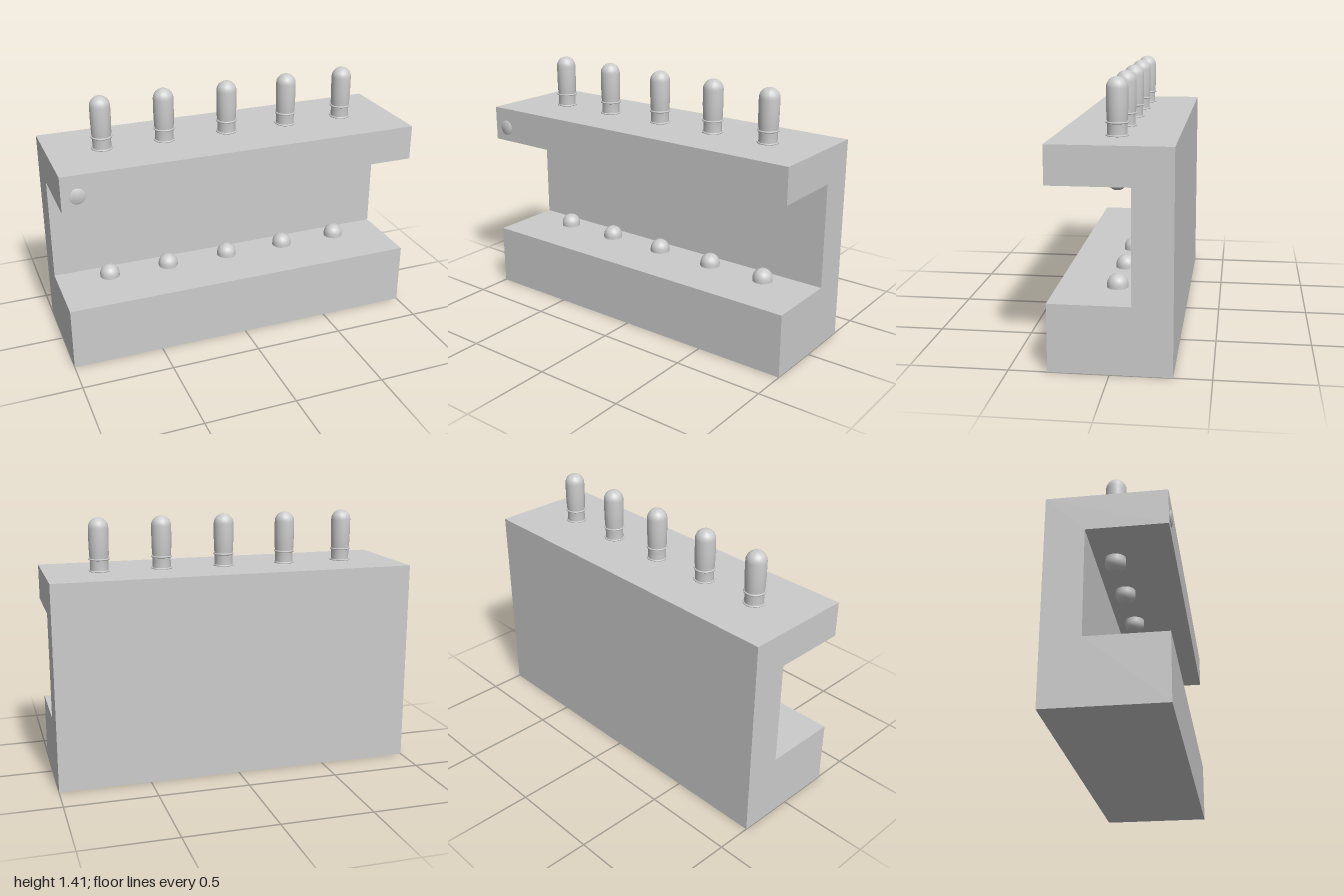
import * as THREE from 'three';
import { toCreasedNormals } from 'three/addons/utils/BufferGeometryUtils.js';

const material = new THREE.MeshStandardMaterial({ color: 0xcccccc });
const R = 0.055;
const PIN_Z = -0.003;

function addMesh(parent, name, geometry, x = 0, y = 0, z = 0) {
  const mesh = new THREE.Mesh(geometry, material);
  mesh.name = name;
  mesh.position.set(x, y, z);
  parent.add(mesh);
  return mesh;
}

// Quarter-circle profile of a dome, from the rim up to the tip (dir 1) or from the tip up to the rim (dir -1)
function domeProfile(radius, rimY, dir) {
  const points = [];
  for (let i = 0; i <= 8; i++) {
    const a = (i / 8) * Math.PI / 2;
    points.push(new THREE.Vector2(radius * Math.cos(a), rimY + dir * radius * Math.sin(a)));
  }
  points[8].x = 0;
  return dir > 0 ? points : points.reverse();
}

const lathe = (points) => toCreasedNormals(new THREE.LatheGeometry(points, 20), 0.7);
const v = (x, y) => new THREE.Vector2(x, y);

export function createModel() {
  const model = new THREE.Group();
  model.name = 'pinRack';

  // C-shaped body: side profile drawn as (-z, y), extruded along x
  const front = -0.305, wall = 0.108, back = 0.31;
  const profile = new THREE.Shape([
    v(front, 0), v(back, 0), v(back, 1.125), v(front, 1.125),
    v(front, 0.93), v(wall, 0.93), v(wall, 0.35), v(front, 0.35),
  ]);
  const bodyGeometry = new THREE.ExtrudeGeometry(profile, { depth: 2, bevelEnabled: false });
  bodyGeometry.translate(0, 0, -1).rotateY(Math.PI / 2);
  addMesh(model, 'body', bodyGeometry);

  // Pin passing through the upper shelf, rounded at both ends, with a narrow neck
  const pinGeometry = lathe([
    ...domeProfile(R, 0.907, -1),
    v(R, 1.0), v(0.05, 1.12), v(0.05, 1.19), v(0.053, 1.21), v(R, 1.28),
    ...domeProfile(R, 1.36, 1),
  ]);
  const collarGeometry = new THREE.TorusGeometry(0.053, 0.005, 8, 24).rotateX(Math.PI / 2);
  const studGeometry = lathe([v(R, 0.34), ...domeProfile(R, 0.365, 1)]);

  [-0.705, -0.36, 0, 0.355, 0.7].forEach((x, i) => {
    const station = new THREE.Group();
    station.name = `station${i + 1}`;
    station.position.set(x, 0, PIN_Z);
    addMesh(station, 'pin', pinGeometry);
    addMesh(station, 'upperCollar', collarGeometry, 0, 1.192);
    addMesh(station, 'lowerCollar', collarGeometry, 0, 1.128);
    addMesh(station, 'baseStud', studGeometry);
    model.add(station);
  });

  // Low round button on the front of the upper shelf
  const buttonGeometry = lathe([v(0.043, -0.01), v(0.043, 0.004), v(0.036, 0.008), v(0, 0.008)]);
  buttonGeometry.rotateX(Math.PI / 2);
  addMesh(model, 'button', buttonGeometry, -0.915, 1.01, 0.304);

  return model;
}
